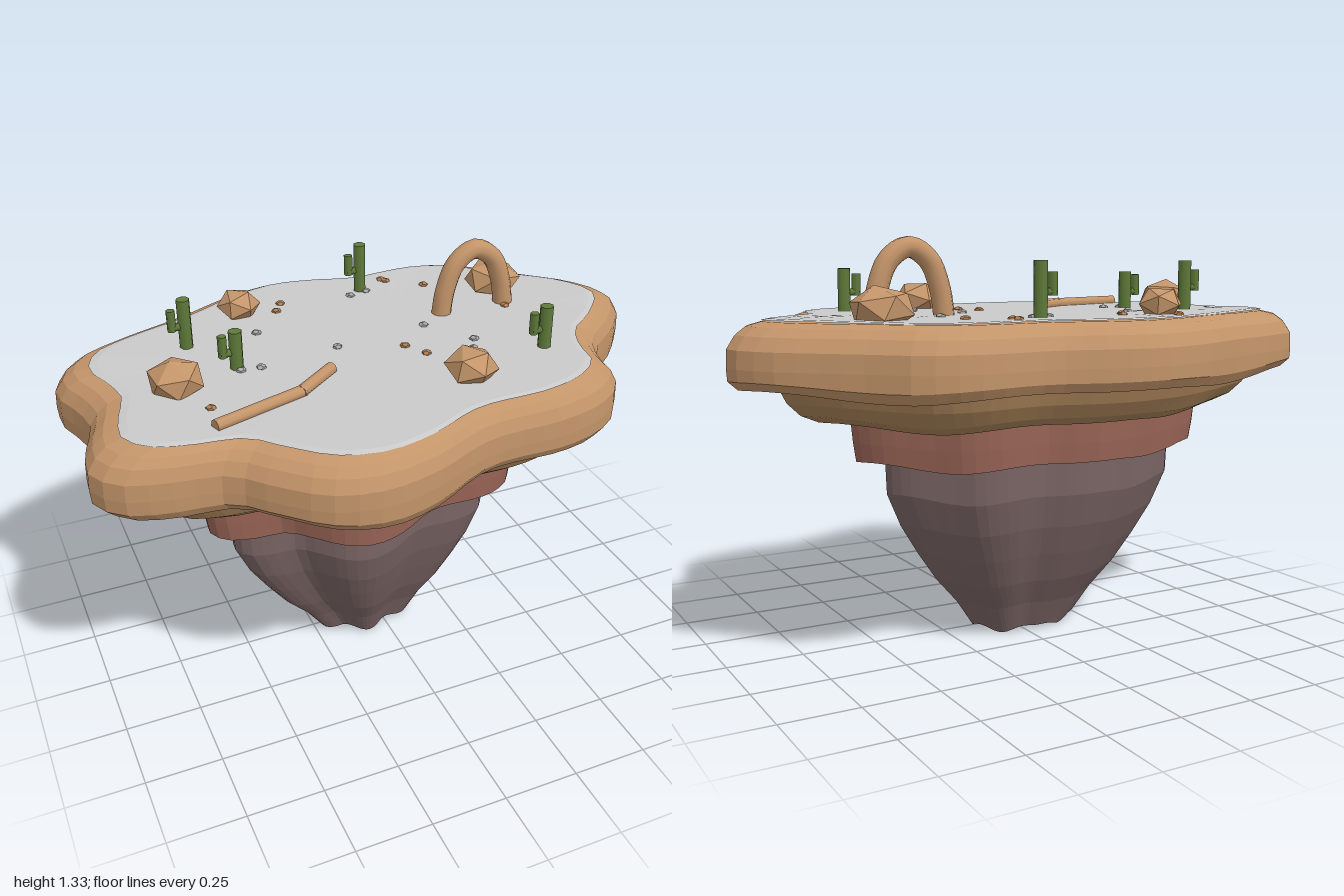
import * as THREE from 'three';

const mat = (name, color, side = THREE.FrontSide) => {
  const m = new THREE.MeshStandardMaterial({ color, side });
  m.name = name;
  return m;
};

// Lobed coastline of the island as [x, z], shared by every layer
const COAST = [
  [0.995, -0.107], [0.94, -0.25], [0.8, -0.39], [0.7, -0.48], [0.59, -0.585], [0.43, -0.635],
  [0.165, -0.625], [0, -0.67], [-0.16, -0.69], [-0.345, -0.64], [-0.555, -0.54], [-0.8, -0.445],
  [-0.95, -0.36], [-1, -0.24], [-0.96, -0.11], [-0.94, 0], [-0.98, 0.13], [-1, 0.27],
  [-0.93, 0.36], [-0.8, 0.4], [-0.64, 0.43], [-0.535, 0.535], [-0.41, 0.64], [-0.255, 0.675],
  [-0.08, 0.64], [0.135, 0.55], [0.4, 0.535], [0.56, 0.49], [0.67, 0.4], [0.69, 0.29],
  [0.75, 0.16], [0.88, 0.05],
];
const SEG = 80;
const coast = new THREE.CatmullRomCurve3(COAST.map(([x, z]) => new THREE.Vector3(x, 0, z)), true)
  .getSpacedPoints(SEG).slice(0, SEG);

// Flat-shaded version of a geometry
function faceted(geo) {
  const g = geo.index ? geo.toNonIndexed() : geo;
  g.computeVertexNormals();
  return g;
}

// Stack of scaled coastlines, bottom to top: [y, scale, wobble]
function strata(rings, ox = 0, oz = 0, caps = true) {
  const pos = [], idx = [];
  for (const [y, s, w = 0] of rings) {
    coast.forEach((p, i) => {
      const a = (i / SEG) * Math.PI * 2;
      const dy = w * (Math.sin(5 * a + 1) * 0.6 + Math.sin(8 * a) * 0.4);
      pos.push(p.x * s + ox, y + dy, p.z * s + oz);
    });
  }
  const last = (rings.length - 1) * SEG;
  for (let r = 0; r < last; r += SEG) {
    for (let i = 0; i < SEG; i++) {
      const a = r + i, b = r + (i + 1) % SEG;
      idx.push(a, b, b + SEG, a, b + SEG, a + SEG);
    }
  }
  const n = pos.length / 3;
  pos.push(ox, rings[0][0], oz, ox, rings[rings.length - 1][0], oz);
  for (let i = 0; i < SEG; i++) {
    const j = (i + 1) % SEG;
    if (caps) idx.push(n, j, i);
    idx.push(n + 1, last + i, last + j);
  }
  const g = new THREE.BufferGeometry();
  g.setAttribute('position', new THREE.Float32BufferAttribute(pos, 3));
  g.setIndex(idx);
  return faceted(g);
}

export function createModel() {
  const root = new THREE.Group();
  root.name = 'floatingDesertIsland';
  const tan = mat('tan sandstone', 0xc4956a);
  const brown = mat('brown sandstone', 0xa88258);
  const red = mat('red clay', 0x9a6556);
  const dark = mat('dark bedrock', 0x7a6464);
  const sand = mat('pale grey ground', 0xcacaca, THREE.DoubleSide);
  const green = mat('cactus green', 0x5f7a3a);
  const grey = mat('grey pebble', 0xa8a8a8);
  const rust = mat('brown pebble', 0xb07d50);

  const add = (name, geo, material, parent = root) => {
    const m = new THREE.Mesh(geo, material);
    m.name = name;
    parent.add(m);
    return m;
  };

  // Rock layers from the tip upward
  add('bedrockCone', strata([
    [0.015, 0.19, 0.012], [0.11, 0.255, 0.008], [0.2, 0.335, 0.008], [0.3, 0.405, 0.008],
    [0.4, 0.468, 0.01], [0.51, 0.517, 0.012], [0.64, 0.522],
  ], -0.033, -0.02), dark);
  add('clayLayer', strata([[0.625, 0.612, 0.012], [0.69, 0.622, 0.006], [0.77, 0.63]], -0.025, -0.01), red);
  add('brownLayer', strata([
    [0.76, 0.715, 0.012], [0.785, 0.775, 0.012], [0.83, 0.82, 0.006], [0.89, 0.85],
  ], -0.005, -0.005), brown);
  add('rimLayer', strata([
    [0.875, 0.78, 0.014], [0.875, 0.965, 0.014], [0.905, 0.997, 0.01], [0.95, 1], [1.005, 0.997],
    [1.045, 0.97], [1.07, 0.935], [1.082, 0.885],
  ]), tan);

  // Thin ground sheet
  add('groundSheet', strata([[1.085, 0.888, 0.002], [1.089, 0.86, 0.002], [1.088, 0.45]], 0, 0, false), sand);

  // Boulders: x, z, radius, height factor, turn
  [[-0.33, -0.42, 0.075, 0.75, 0.4], [0.575, -0.28, 0.104, 0.68, 1.1],
    [-0.67, 0.02, 0.092, 0.72, 2.0], [0.19, 0.3, 0.087, 0.74, 0.1]].forEach(([x, z, r, h, t]) => {
    const b = add('boulder', faceted(new THREE.IcosahedronGeometry(r, 0)), tan);
    b.rotation.set(0.5, t, 0.1);
    const squash = new THREE.Group();
    squash.name = 'boulderGroup';
    squash.scale.y = h;
    squash.position.set(x, 1.12, z);
    squash.add(b);
    root.add(squash);
  });

  // Stone arch with slightly splayed feet
  const arch = new THREE.CatmullRomCurve3([
    [0.307, 1.07], [0.322, 1.17], [0.36, 1.26], [0.428, 1.3], [0.496, 1.26], [0.534, 1.17], [0.549, 1.07],
  ].map(([x, y]) => new THREE.Vector3(x, y, -0.15)));
  add('stoneArch', new THREE.TubeGeometry(arch, 28, 0.034, 10), tan);

  // Fallen branch made of two straight rods
  const rod = (name, a, b, r, material, parent, sides = 8) => {
    const from = new THREE.Vector3(...a), to = new THREE.Vector3(...b);
    const dir = to.clone().sub(from);
    const m = add(name, new THREE.CylinderGeometry(r, r, dir.length(), sides), material, parent);
    m.position.copy(from).add(to).multiplyScalar(0.5);
    m.quaternion.setFromUnitVectors(new THREE.Vector3(0, 1, 0), dir.normalize());
    return m;
  };
  rod('branchLong', [-0.632, 1.097, 0.3], [-0.325, 1.097, 0.203], 0.02, tan, root);
  rod('branchShort', [-0.338, 1.097, 0.21], [-0.195, 1.097, 0.1], 0.02, tan, root);

  // Cacti with one raised arm: x, z, top
  [[-0.565, -0.24, 1.255], [-0.46, -0.035, 1.215], [0.125, -0.435, 1.26], [0.5, 0.215, 1.23]]
    .forEach(([x, z, top]) => {
      const c = new THREE.Group();
      c.name = 'cactus';
      const elbow = 1.08 + (top - 1.08) * 0.48;
      rod('trunk', [x, 1.07, z], [x, top, z], 0.022, green, c);
      rod('armBase', [x, elbow, z], [x - 0.05, elbow, z], 0.013, green, c, 6);
      rod('armTip', [x - 0.043, elbow - 0.012, z], [x - 0.043, elbow + 0.06, z], 0.015, green, c, 6);
      root.add(c);
    });

  // Scattered pebbles as [x, z]
  const pebbles = (name, list, material) => list.forEach(([x, z], i) => {
    const p = add(name, faceted(new THREE.DodecahedronGeometry(0.017, 0)), material);
    p.position.set(x, 1.09, z);
    p.scale.y = 0.6;
    p.rotation.y = i * 1.3;
  });
  pebbles('greyPebble', [[0.075, -0.4], [0.14, -0.415], [-0.326, -0.245], [0.364, -0.24], [-0.63, -0.117],
    [0.209, -0.08], [-0.118, -0.043], [-0.455, -0.01], [-0.39, -0.005], [0.316, 0.08], [0.283, 0.14]], grey);
  pebbles('brownPebble', [[-0.342, -0.503], [-0.176, -0.433], [-0.209, -0.38], [0.23, -0.487], [0.24, -0.47],
    [0.353, -0.385], [0.535, -0.11], [0.086, 0.037], [0.128, 0.112], [-0.61, 0.182]], rust);

  return root;
}
